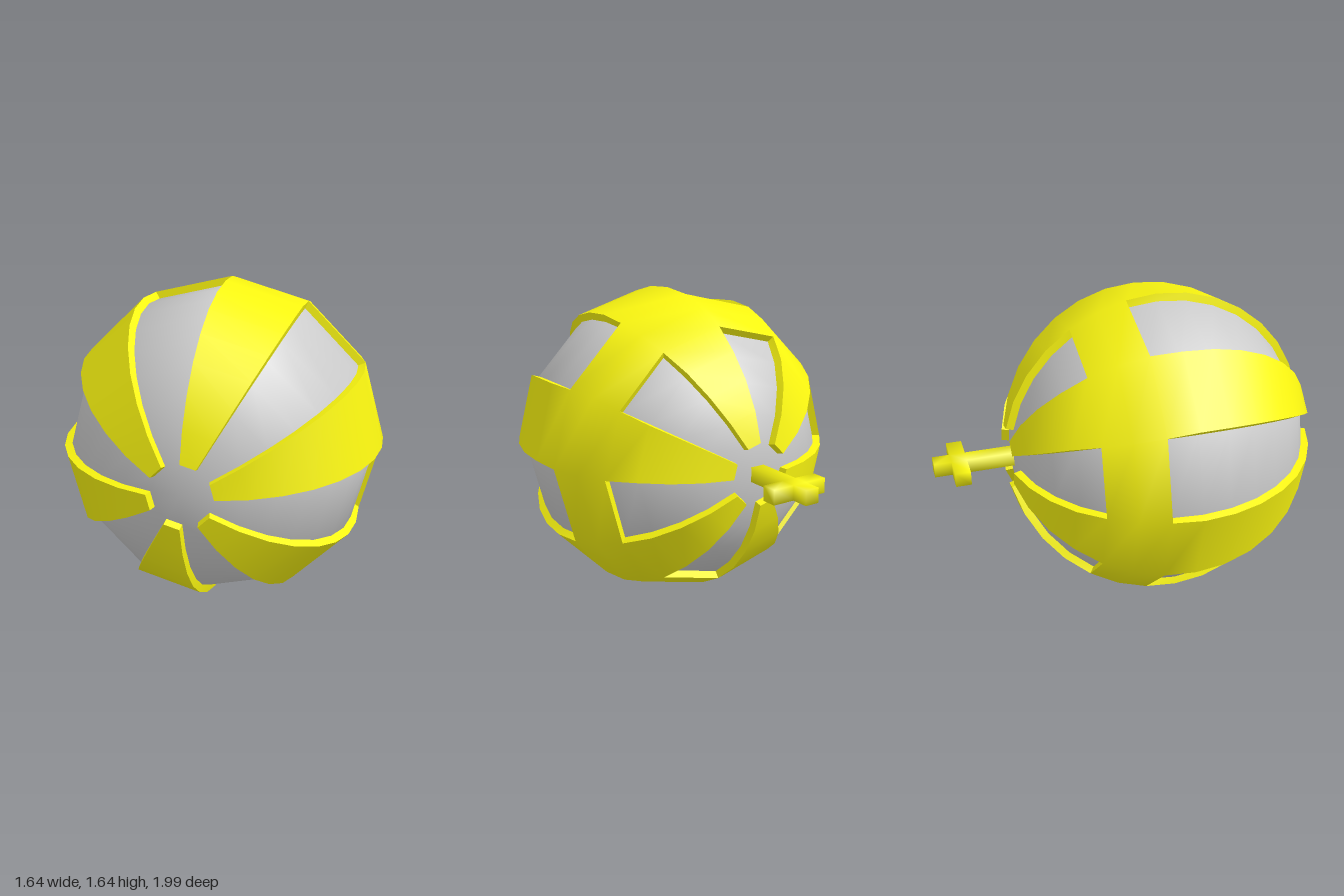
import * as THREE from 'three';
import { mergeVertices, toCreasedNormals } from 'three/addons/utils/BufferGeometryUtils.js';

const SIDES = 12, RINGS = 16;      // facets around and along the z axis
const CORE = 0.78, THICK = 0.04;   // core radius, raised shell thickness

// Grid point on the core, ring i counted from the front pole
function corePoint(i, j) {
  const t = (i * Math.PI) / RINGS, p = (j * 2 * Math.PI) / SIDES;
  return new THREE.Vector3(Math.sin(t) * Math.cos(p), Math.sin(t) * Math.sin(p), Math.cos(t)).multiplyScalar(CORE);
}

// Alternate ribs run pole to pole; a full band circles the rear half
function isRaised(i, j) {
  if (i < 1 || i > RINGS - 2) return false;
  return (j + SIDES) % 2 === 0 || i === 9 || i === 10;
}

// Direction facing out of one grid cell
function cellNormal(i, j) {
  const a = corePoint(i, j), c = corePoint(i + 1, j + 1);
  const b = corePoint(i + 1, j), d = corePoint(i, j + 1);
  return c.sub(a).cross(d.sub(b)).normalize();
}

// Grid point pushed out along the mean normal of the raised cells around it
function shellPoint(i, j) {
  const n = new THREE.Vector3();
  for (const di of [-1, 0]) {
    for (const dj of [-1, 0]) {
      if (isRaised(i + di, j + dj)) n.add(cellNormal(i + di, j + dj));
    }
  }
  return corePoint(i, j).addScaledVector(n.normalize(), THICK);
}

function shellGeometry() {
  const pos = [];
  const quad = (a, b, c, d) => [a, b, c, a, c, d].forEach((v) => pos.push(v.x, v.y, v.z));
  for (let i = 1; i < RINGS - 1; i++) {
    for (let j = 0; j < SIDES; j++) {
      if (!isRaised(i, j)) continue;
      const corners = [[i, j], [i + 1, j], [i + 1, j + 1], [i, j + 1]];
      const beyond = [[i, j - 1], [i + 1, j], [i, j + 1], [i - 1, j]];
      const outer = corners.map((c) => shellPoint(...c));
      quad(...outer);
      // Side walls where the neighbouring cell is not raised
      beyond.forEach((cell, k) => {
        if (isRaised(...cell)) return;
        const m = (k + 1) % 4;
        quad(corePoint(...corners[k]), corePoint(...corners[m]), outer[m], outer[k]);
      });
    }
  }
  const g = new THREE.BufferGeometry();
  g.setAttribute('position', new THREE.Float32BufferAttribute(pos, 3));
  return toCreasedNormals(g, 0.9);
}

// Cross handle: outline drawn in x and z, extruded in y
function crossGeometry() {
  const half = [[0.038, -0.74], [0.038, -1.02], [0.155, -1.02], [0.155, -1.1], [0.038, -1.1], [0.038, -1.19]];
  const outline = [...half, ...half.map(([x, z]) => [-x, z]).reverse()];
  const shape = new THREE.Shape(outline.map(([x, z]) => new THREE.Vector2(x, -z)));
  let g = new THREE.ExtrudeGeometry(shape, { depth: 0.076, bevelEnabled: false });
  g.translate(0, 0, -0.038).rotateX(-Math.PI / 2);
  g.deleteAttribute('uv');
  g.deleteAttribute('normal');
  g = mergeVertices(g);
  g.computeVertexNormals();
  return g;
}

export function createModel() {
  const group = new THREE.Group();
  const grey = new THREE.MeshStandardMaterial({ color: 0xcccccc });
  const yellow = new THREE.MeshStandardMaterial({ color: 0xf8f410 });
  const add = (name, geometry, material) => {
    const mesh = new THREE.Mesh(geometry, material);
    mesh.name = name;
    mesh.position.set(0, 0.828, 0.19);
    group.add(mesh);
  };
  add('core', new THREE.SphereGeometry(CORE, SIDES, RINGS).rotateX(Math.PI / 2), grey);
  add('ribsAndBand', shellGeometry(), yellow);
  add('crossHandle', crossGeometry(), yellow);
  return group;
}
